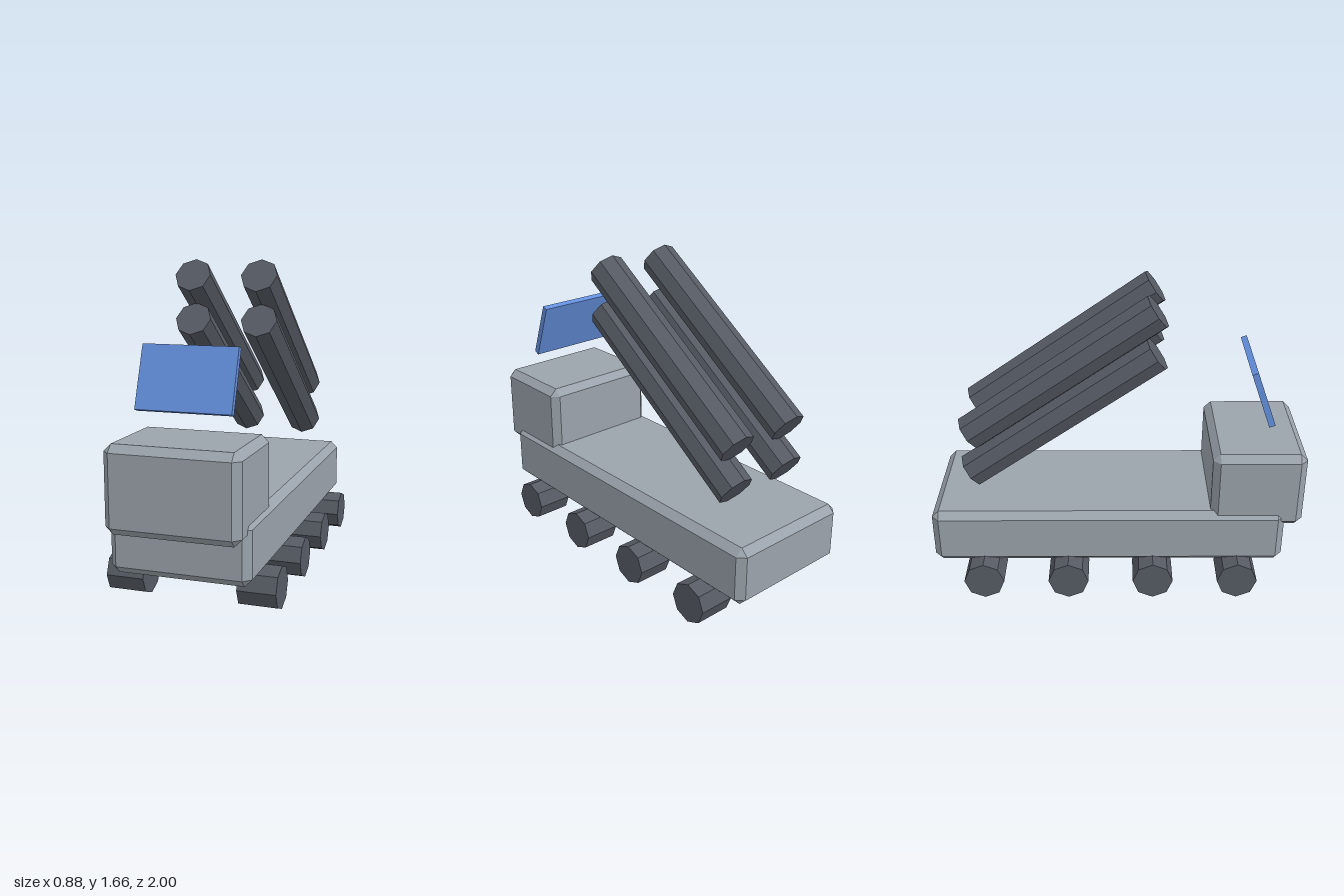
import * as THREE from 'three';
import { ConvexGeometry } from 'three/addons/geometries/ConvexGeometry.js';

const paint = (name, color) => {
  const m = new THREE.MeshStandardMaterial({ color, flatShading: true });
  m.name = name;
  return m;
};

// Box with bevelled edges, given by its full size and the bevel width
function bevelledBox(w, h, d, c) {
  const pts = [];
  for (const x of [-1, 1]) for (const y of [-1, 1]) for (const z of [-1, 1]) {
    const X = w / 2, Y = h / 2, Z = d / 2;
    pts.push(
      new THREE.Vector3(x * X, y * (Y - c), z * (Z - c)),
      new THREE.Vector3(x * (X - c), y * Y, z * (Z - c)),
      new THREE.Vector3(x * (X - c), y * (Y - c), z * Z));
  }
  return new ConvexGeometry(pts);
}

export function createModel() {
  const group = new THREE.Group();
  group.name = 'launcherTruck';
  const grey = paint('hullGrey', 0x9aa3ab);
  const dark = paint('darkMetal', 0x565b64);
  const blue = paint('windowBlue', 0x648fde);

  const add = (name, geometry, material, x, y, z, tilt = 0) => {
    const mesh = new THREE.Mesh(geometry, material);
    mesh.name = name;
    mesh.position.set(x, y, z);
    mesh.rotation.x = tilt;
    group.add(mesh);
  };

  // Hull and forward cab
  add('hull', bevelledBox(0.712, 0.315, 1.904, 0.038), grey, 0, 0.333, -0.048);
  add('cab', bevelledBox(0.676, 0.436, 0.496, 0.038), grey, 0, 0.613, 0.752);

  // Tilted windscreen panel above the cab
  add('windscreen', new THREE.BoxGeometry(0.484, 0.32, 0.034), blue, 0, 1.115, 0.753, -0.349);

  // Four pairs of eight-sided wheels
  const wheel = new THREE.CylinderGeometry(0.109, 0.109, 0.197, 8).rotateZ(Math.PI / 2);
  for (const side of [-1, 1])
    for (let i = 0; i < 4; i++)
      add('wheel', wheel, dark, side * 0.341, 0.109, 0.654 - i * 0.46);

  // Two by two launch tubes, raised 35 degrees towards the front
  const tube = new THREE.CylinderGeometry(0.097, 0.097, 1.197, 8);
  for (const side of [-1, 1])
    for (const y of [1.011, 1.239])
      add('launchTube', tube, dark, side * 0.18, y, -0.288, THREE.MathUtils.degToRad(55.2));

  return group;
}
